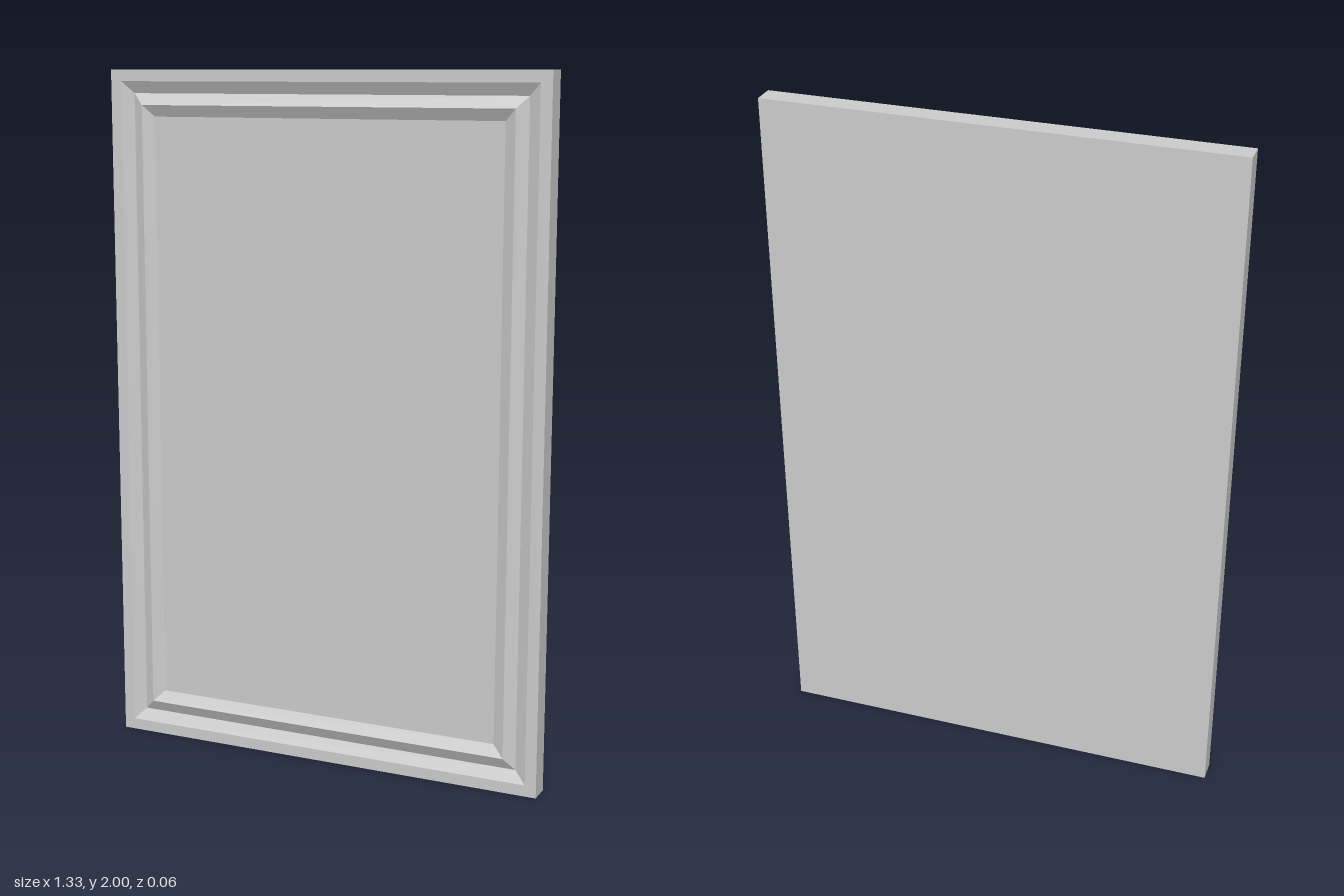
import * as THREE from 'three';

const W = 1.33, H = 2, T = 0.064, GROOVE = 0.017;
const front = T / 2, low = front - GROOVE;

// Moulding section from the back edge to the centre panel: [inset from rim, z]
const section = [
  [0, -front], [0, front],          // outer side
  [0.033, front], [0.067, low],     // flat rim, then bevel into the groove
  [0.1, front], [0.133, low],       // raised bead, then bevel down to the panel
];

// Four mitred corners, counter-clockwise seen from the front
function corners([inset, z]) {
  const x = W / 2 - inset, b = inset, t = H - inset;
  return [[-x, b, z], [x, b, z], [x, t, z], [-x, t, z]];
}

// Flat-faced geometry from a list of quads
function quads(list) {
  const pos = [];
  for (const [a, b, c, d] of list) pos.push(...a, ...b, ...c, ...a, ...c, ...d);
  const geo = new THREE.BufferGeometry();
  geo.setAttribute('position', new THREE.Float32BufferAttribute(pos, 3));
  geo.computeVertexNormals();
  return geo;
}

export function createModel() {
  const group = new THREE.Group();
  group.name = 'panelledDoor';
  const material = new THREE.MeshStandardMaterial({ color: 0xcccccc, flatShading: true });
  const add = (name, list) => {
    const mesh = new THREE.Mesh(quads(list), material);
    mesh.name = name;
    group.add(mesh);
  };

  // Frame: join each section loop to the next
  const loops = section.map(corners);
  const frame = [];
  for (let i = 0; i < loops.length - 1; i++) {
    const a = loops[i], b = loops[i + 1];
    for (let k = 0; k < 4; k++) {
      const n = (k + 1) % 4;
      frame.push([a[k], a[n], b[n], b[k]]);
    }
  }
  add('mouldedFrame', frame);

  // Recessed centre panel and plain back
  add('centrePanel', [loops[loops.length - 1]]);
  add('backFace', [[...loops[0]].reverse()]);

  return group;
}
